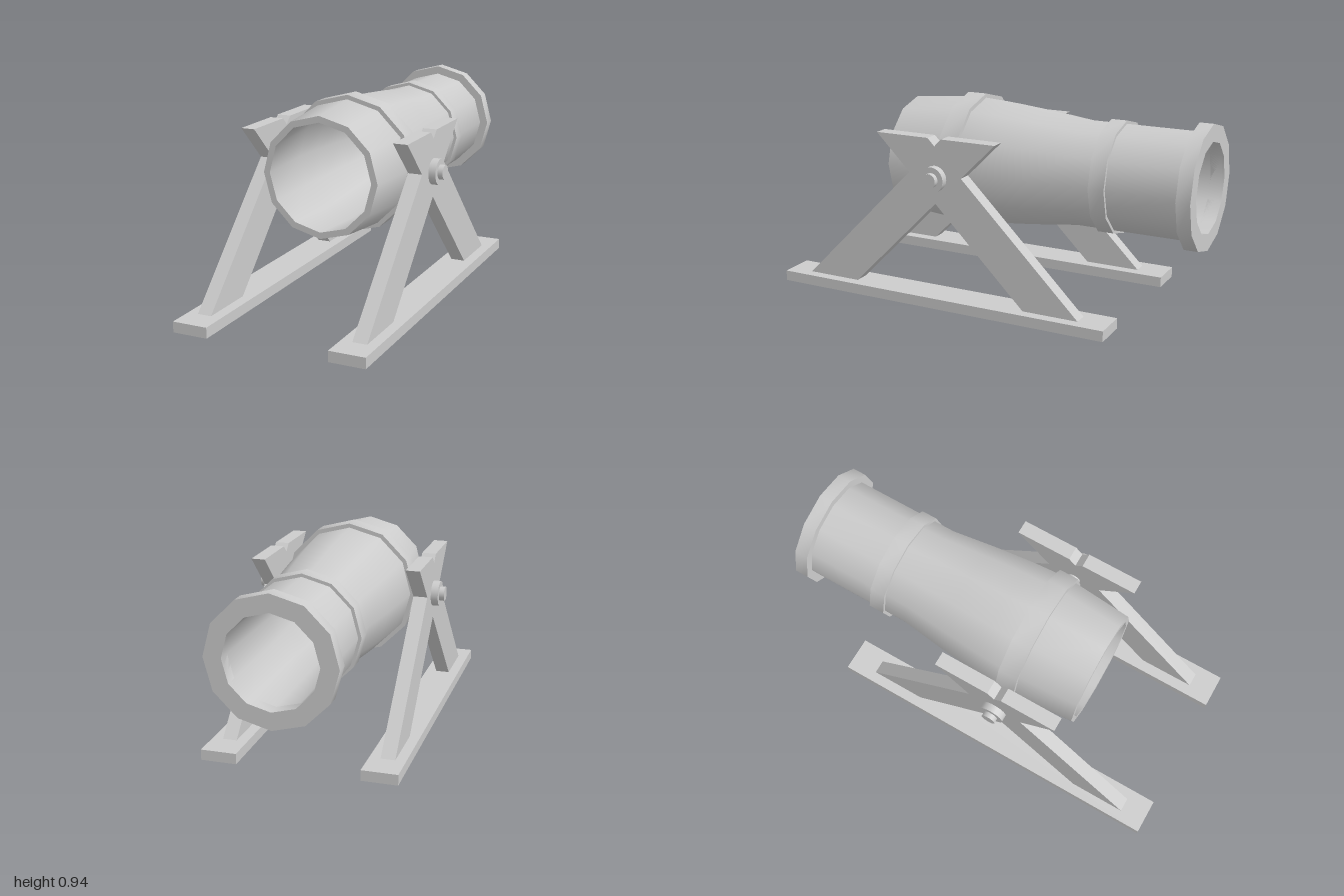
import * as THREE from 'three';
import { toCreasedNormals } from 'three/addons/utils/BufferGeometryUtils.js';

const AXIS_Y = 0.615; // barrel centre height
const PIVOT_Z = 0.165; // trunnion position

export function createModel() {
  const model = new THREE.Group();
  const material = new THREE.MeshStandardMaterial({ color: 0xcccccc });

  const add = (parent, name, geometry, x = 0, y = 0, z = 0) => {
    const mesh = new THREE.Mesh(geometry, material);
    mesh.name = name;
    mesh.position.set(x, y, z);
    parent.add(mesh);
  };

  // Closed profile of [radius, z] points turned around the barrel axis
  const turned = (points) => {
    const profile = [...points, points[0]].map(([r, z]) => new THREE.Vector2(r, z));
    const geometry = new THREE.LatheGeometry(profile, 12).rotateX(Math.PI / 2);
    return toCreasedNormals(geometry, 0.6);
  };
  const ring = (inner, outer, z0, z1) => turned([[inner, z0], [outer, z0], [outer, z1], [inner, z1]]);

  // Hollow barrel, open at both ends
  const barrel = new THREE.Group();
  barrel.name = 'barrel';
  barrel.position.y = AXIS_Y;
  model.add(barrel);
  add(barrel, 'tube', turned([
    [0.21, -0.99], [0.25, -0.99], [0.25, -0.42], [0.278, -0.2], [0.298, 0], [0.308, PIVOT_Z], [0.28, 0.495],
    [0.25, 0.495], [0.272, PIVOT_Z], [0.262, 0], [0.24, -0.2], [0.21, -0.42],
  ]));
  add(barrel, 'muzzleRing', ring(0.21, 0.29, -1, -0.935));
  add(barrel, 'frontBand', ring(0.24, 0.265, -0.6, -0.525));
  add(barrel, 'trunnionBand', ring(0.285, 0.325, 0.115, 0.21));

  // Crossed-leg outline: half of it, mirrored about the pivot (u = distance from pivot)
  const half = [[0, 0.495], [0.445, 0.05], [0.715, 0.05], [0.135, 0.63], [0.305, 0.8], [0.035, 0.8], [0, 0.765]];
  const outline = [...half, ...half.slice(1, -1).reverse().map(([u, y]) => [-u, y])];
  const legs = new THREE.Shape(outline.map(([u, y]) => new THREE.Vector2(u, y)));

  for (const [side, label] of [[1, 'left'], [-1, 'right']]) {
    const stand = new THREE.Group();
    stand.name = label + 'Stand';
    model.add(stand);

    add(stand, 'base', new THREE.BoxGeometry(0.168, 0.05, 1.69), side * 0.372, 0.025, 0.155);

    const legGeometry = new THREE.ExtrudeGeometry(legs, { depth: 0.067, bevelEnabled: false })
      .translate(0, 0, -0.0335).rotateY(Math.PI / 2);
    add(stand, 'crossedLegs', legGeometry, side * 0.3735, 0, PIVOT_Z);

    // Trunnion pin with its washer outside the legs
    const rod = (radius, length) => new THREE.CylinderGeometry(radius, radius, length, 20).rotateZ(Math.PI / 2);
    add(stand, 'trunnionPin', rod(0.034, 0.175), side * 0.3775, AXIS_Y, PIVOT_Z);
    add(stand, 'washer', rod(0.06, 0.06), side * 0.411, AXIS_Y, PIVOT_Z);
  }

  return model;
}
